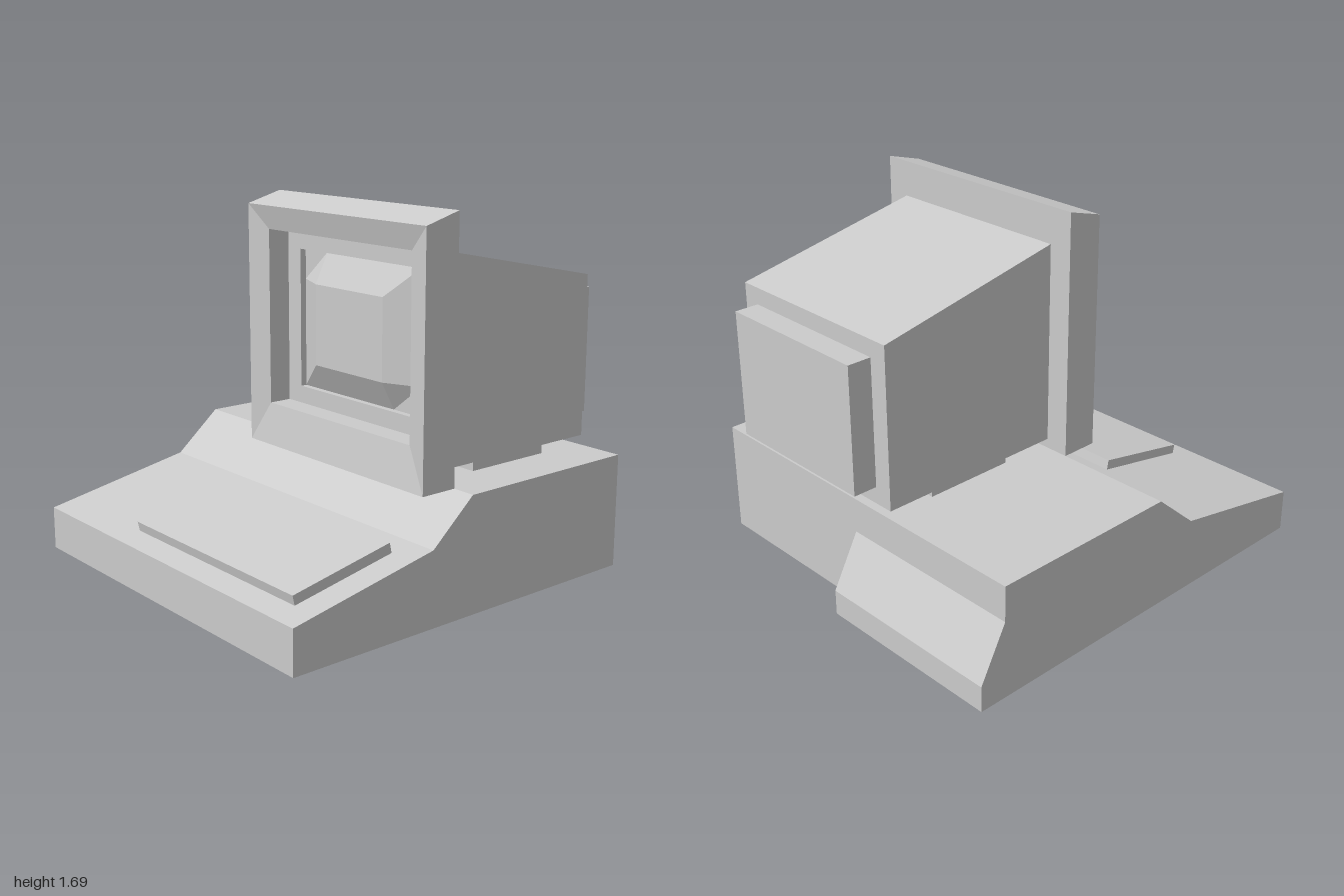
import * as THREE from 'three';

const material = new THREE.MeshStandardMaterial({ color: 0xcccccc, flatShading: true });

function part(name, geometry) {
  const mesh = new THREE.Mesh(geometry, material);
  mesh.name = name;
  return mesh;
}

// Side profile of [z, y] points extruded from x0 to x1
function profileGeometry(points, x0, x1) {
  const shape = new THREE.Shape(points.map(([z, y]) => new THREE.Vector2(z, y)));
  return new THREE.ExtrudeGeometry(shape, { depth: x1 - x0, bevelEnabled: false })
    .rotateY(-Math.PI / 2)
    .translate(x1, 0, 0);
}

// Box given by its limits on each axis
function boxGeometry(x0, x1, y0, y1, z0, z1) {
  return new THREE.BoxGeometry(x1 - x0, y1 - y0, z1 - z0)
    .translate((x0 + x1) / 2, (y0 + y1) / 2, (z0 + z1) / 2);
}

// Skin over a row of rectangular rings [left, right, bottom, top, z]
function ringGeometry(rings) {
  const positions = [];
  const corners = rings.map(([l, r, b, t, z]) => [[l, b, z], [r, b, z], [r, t, z], [l, t, z]]);
  for (let i = 0; i < corners.length - 1; i++) {
    const a = corners[i], b = corners[i + 1];
    for (let j = 0; j < 4; j++) {
      const k = (j + 1) % 4;
      positions.push(...a[j], ...a[k], ...b[k], ...a[j], ...b[k], ...b[j]);
    }
  }
  const geometry = new THREE.BufferGeometry();
  geometry.setAttribute('position', new THREE.Float32BufferAttribute(positions, 3));
  geometry.computeVertexNormals();
  return geometry;
}

// Faceted tube face: flat rim with a raised middle
function screenGeometry() {
  const xs = [-0.16, 0, 0.45, 0.62];
  const ys = [1.44, 1.3, 0.93, 0.8];
  const geometry = new THREE.PlaneGeometry(1, 1, 3, 3);
  const position = geometry.attributes.position;
  for (let i = 0; i < position.count; i++) {
    const col = i % 4, row = Math.floor(i / 4);
    const inner = col % 3 !== 0 && row % 3 !== 0;
    position.setXYZ(i, xs[col], ys[row], inner ? 0.14 : 0.07);
  }
  geometry.computeVertexNormals();
  return geometry;
}

export function createModel() {
  const model = new THREE.Group();
  model.name = 'desktopComputer';

  // Wedge-fronted case, keyboard and rear connector housing
  model.add(
    part('case', profileGeometry(
      [[1, 0], [1, 0.2], [0.28, 0.34], [0.06, 0.53], [-0.87, 0.53], [-0.87, 0]], -0.93, 0.93)),
    part('keyboard', profileGeometry(
      [[0.89, 0.22], [0.9, 0.265], [0.4, 0.365], [0.39, 0.315]], -0.33, 0.8)),
    part('rearHousing', profileGeometry(
      [[-0.87, 0], [-0.87, 0.365], [-1, 0.12], [-1, 0]], -0.93, 0)),
  );

  // Monitor
  const monitor = new THREE.Group();
  monitor.name = 'monitor';
  monitor.add(
    part('stand', boxGeometry(-0.22, 0.69, 0.53, 0.58, -0.62, -0.18)),
    part('monitorBody', profileGeometry(
      [[0.06, 0.575], [0.06, 1.52], [-0.875, 1.33], [-0.875, 0.575]], -0.25, 0.705)),
    part('rearPanel', boxGeometry(-0.16, 0.62, 0.655, 1.25, -0.99, -0.875)),
    part('bezel', ringGeometry([
      [-0.25, 0.705, 0.575, 1.52, 0.06],
      [-0.365, 0.82, 0.53, 1.69, 0.06],
      [-0.365, 0.82, 0.53, 1.64, 0.24],
      [-0.25, 0.705, 0.72, 1.53, 0.21],
      [-0.25, 0.705, 0.72, 1.53, 0.1],
      [-0.16, 0.62, 0.8, 1.44, 0.1],
      [-0.16, 0.62, 0.8, 1.44, 0.07],
    ])),
    part('screen', screenGeometry()),
  );
  model.add(monitor);
  return model;
}
